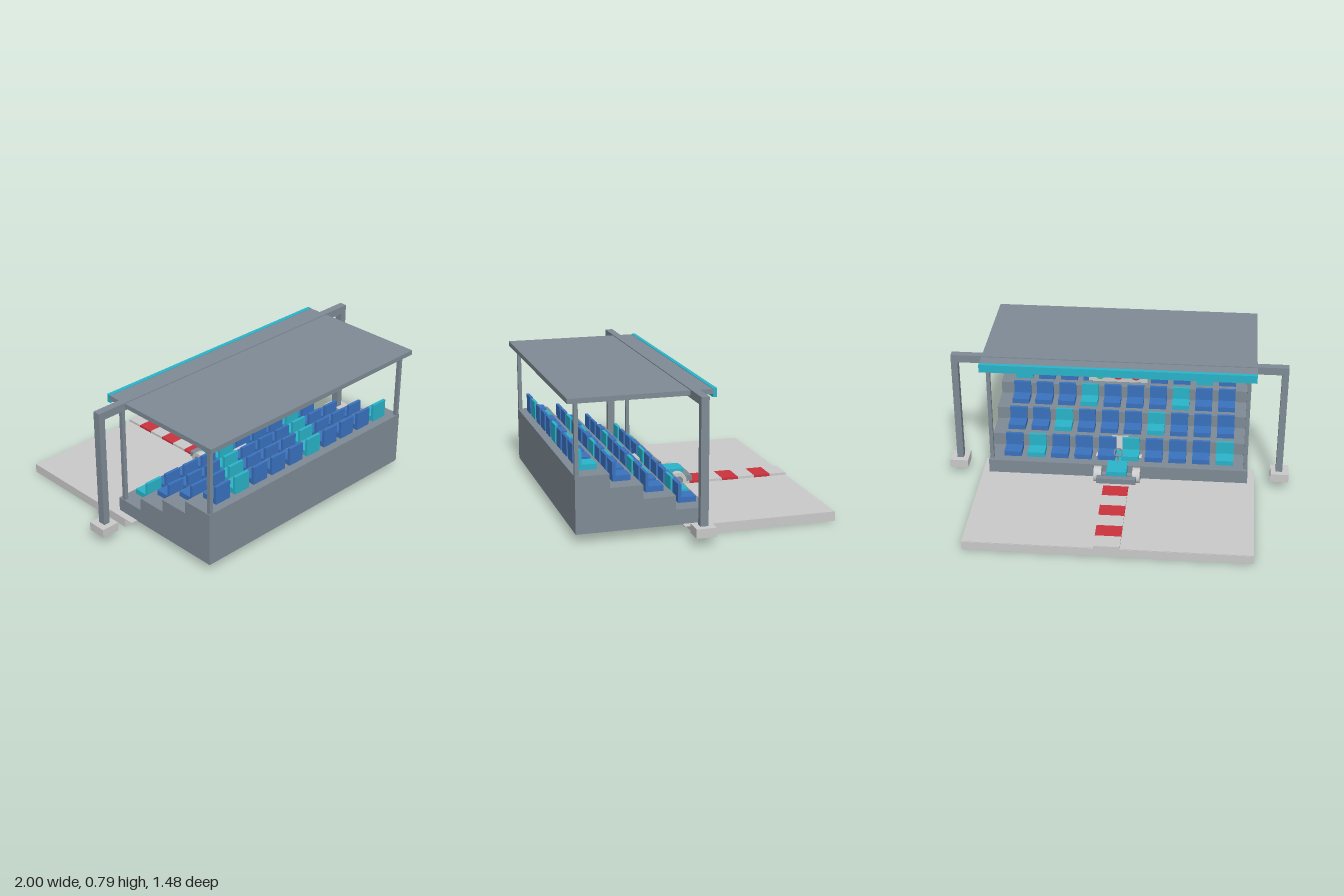
import * as THREE from 'three';

const mat = (name, color) => {
  const m = new THREE.MeshStandardMaterial({ color });
  m.name = name;
  return m;
};

export function createModel() {
  const steel = mat('steel grey', 0x7f8b96);
  const pale = mat('pale concrete', 0xcacaca);
  const blue = mat('seat blue', 0x3a72bf);
  const teal = mat('teal', 0x2ab5ca);
  const red = mat('signal red', 0xcc343e);
  const green = mat('signal green', 0x2fc873);

  const model = new THREE.Group();
  model.name = 'grandstand';
  const group = (name, parent = model) => {
    const g = new THREE.Group();
    g.name = name;
    parent.add(g);
    return g;
  };
  const add = (parent, name, geometry, material) => {
    const m = new THREE.Mesh(geometry, material);
    m.name = name;
    parent.add(m);
    return m;
  };
  // Box given by its limits on each axis
  const box = (parent, name, material, x0, x1, y0, y1, z0, z1) => {
    const m = add(parent, name, new THREE.BoxGeometry(x1 - x0, y1 - y0, z1 - z0), material);
    m.position.set((x0 + x1) / 2, (y0 + y1) / 2, (z0 + z1) / 2);
    return m;
  };

  // Ground slab with a thin top sheet
  box(model, 'groundSlab', pale, -0.8, 0.8, 0, 0.05, -0.74, 0.065);
  box(model, 'groundSheet', pale, -0.8, 0.8, 0.049, 0.053, -0.738, 0.12);

  // Track strip with alternating bands
  const track = group('trackStrip');
  const cuts = [-0.74, -0.64, -0.54, -0.44, -0.34, -0.24, -0.14, -0.04, 0];
  for (let i = 0; i < cuts.length - 1; i++) {
    box(track, i % 2 ? 'redBand' : 'paleBand', i % 2 ? red : pale,
      -0.073, 0.073, 0.05, 0.067, cuts[i], cuts[i + 1]);
  }

  // Stepped stand, extruded across x
  const profile = [[0.70, 0.05], [0.70, 0.362], [0.515, 0.362], [0.515, 0.287], [0.335, 0.287],
    [0.335, 0.211], [0.155, 0.211], [0.155, 0.135], [-0.025, 0.135], [-0.025, 0.05]];
  const steps = new THREE.Shape(profile.map(([z, y]) => new THREE.Vector2(-z, y)));
  const standGeo = new THREE.ExtrudeGeometry(steps, { depth: 1.52, bevelEnabled: false });
  standGeo.translate(0, 0, -0.76);
  standGeo.rotateY(Math.PI / 2);
  add(model, 'steppedStand', standGeo, steel);

  // Seats: four rows of ten, every fourth one teal, shifted by a seat per row
  const seats = group('seats');
  for (let row = 0; row < 4; row++) {
    const y = 0.369 - row * 0.0755;
    const z = 0.66 - row * 0.181;
    for (let i = 0; i < 10; i++) {
      const x = (i - 4.5) * 0.1385;
      const color = (i - row + 4) % 4 === 1 ? teal : blue;
      const seat = group('seat', seats);
      box(seat, 'seatPan', color, x - 0.051, x + 0.051, y, y + 0.03, z - 0.1, z);
      box(seat, 'seatBack', color, x - 0.051, x + 0.051, y + 0.025, y + 0.105, z - 0.017, z);
    }
  }

  // Roof, fascia and posts
  box(model, 'roof', steel, -0.785, 0.785, 0.755, 0.782, -0.037, 0.74);
  box(model, 'roofFascia', teal, -0.785, 0.785, 0.738, 0.785, -0.058, -0.035);
  for (const s of [-1, 1]) {
    const x = s * 0.744;
    box(model, 'rearPost', steel, x - 0.011, x + 0.011, 0.36, 0.76, 0.677, 0.699);
    box(model, 'frontPost', steel, x - 0.011, x + 0.011, 0.13, 0.76, -0.002, 0.02);
  }

  // Gantry over the start line
  const gantry = group('gantry');
  box(gantry, 'gantryBeam', steel, -0.963, 0.963, 0.742, 0.787, 0.043, 0.087);
  for (const s of [-1, 1]) {
    const x = s * 0.944;
    box(gantry, 'gantryColumn', steel, x - 0.019, x + 0.019, 0.049, 0.745, 0.043, 0.087);
    const f = s * 0.947;
    box(gantry, 'gantryFooting', pale, f - 0.053, f + 0.053, 0.05, 0.1, 0.01, 0.12);
  }

  // Signal box with lamps on both faces
  const signal = group('signalBox');
  box(signal, 'signalHousing', pale, -0.168, 0.168, 0.665, 0.75, 0.03, 0.1);
  const lampGeo = new THREE.CylinderGeometry(0.03, 0.03, 0.096, 20).rotateX(Math.PI / 2);
  [red, red, green].forEach((m, i) => {
    add(signal, 'signalLamp', lampGeo, m).position.set((i - 1) * 0.102, 0.716, 0.065);
  });

  // Small racing car at the start line
  const car = group('racingCar');
  box(car, 'carBody', teal, -0.058, 0.058, 0.08, 0.143, -0.11, 0.14);
  box(car, 'frontBumper', steel, -0.115, 0.115, 0.082, 0.114, -0.142, -0.105);
  const tyreGeo = new THREE.CylinderGeometry(0.046, 0.046, 0.044, 20).rotateZ(Math.PI / 2);
  const hubGeo = new THREE.CylinderGeometry(0.024, 0.024, 0.05, 16).rotateZ(Math.PI / 2);
  const axleGeo = new THREE.CylinderGeometry(0.014, 0.014, 0.2, 12).rotateZ(Math.PI / 2);
  for (const z of [-0.058, 0.09]) {
    add(car, 'axle', axleGeo, steel).position.set(0, 0.095, z);
    for (const s of [-1, 1]) {
      add(car, 'tyre', tyreGeo, pale).position.set(s * 0.113, 0.095, z);
      add(car, 'wheelHub', hubGeo, steel).position.set(s * 0.113, 0.095, z);
    }
  }
  // Sloping driver backrest and steering wheel
  const back = box(car, 'driverBackrest', pale, -0.05, 0.05, 0.13, 0.225, 0.143, 0.163);
  back.rotation.x = 0.22;
  const wheel = add(car, 'steeringWheel', new THREE.TorusGeometry(0.024, 0.005, 8, 20), steel);
  wheel.position.set(0, 0.188, 0.035);
  wheel.rotation.x = 0.95;
  const column = add(car, 'steeringColumn', new THREE.CylinderGeometry(0.005, 0.005, 0.06, 8), steel);
  column.position.set(0, 0.165, 0.015);
  column.rotation.x = 0.7;

  return model;
}
